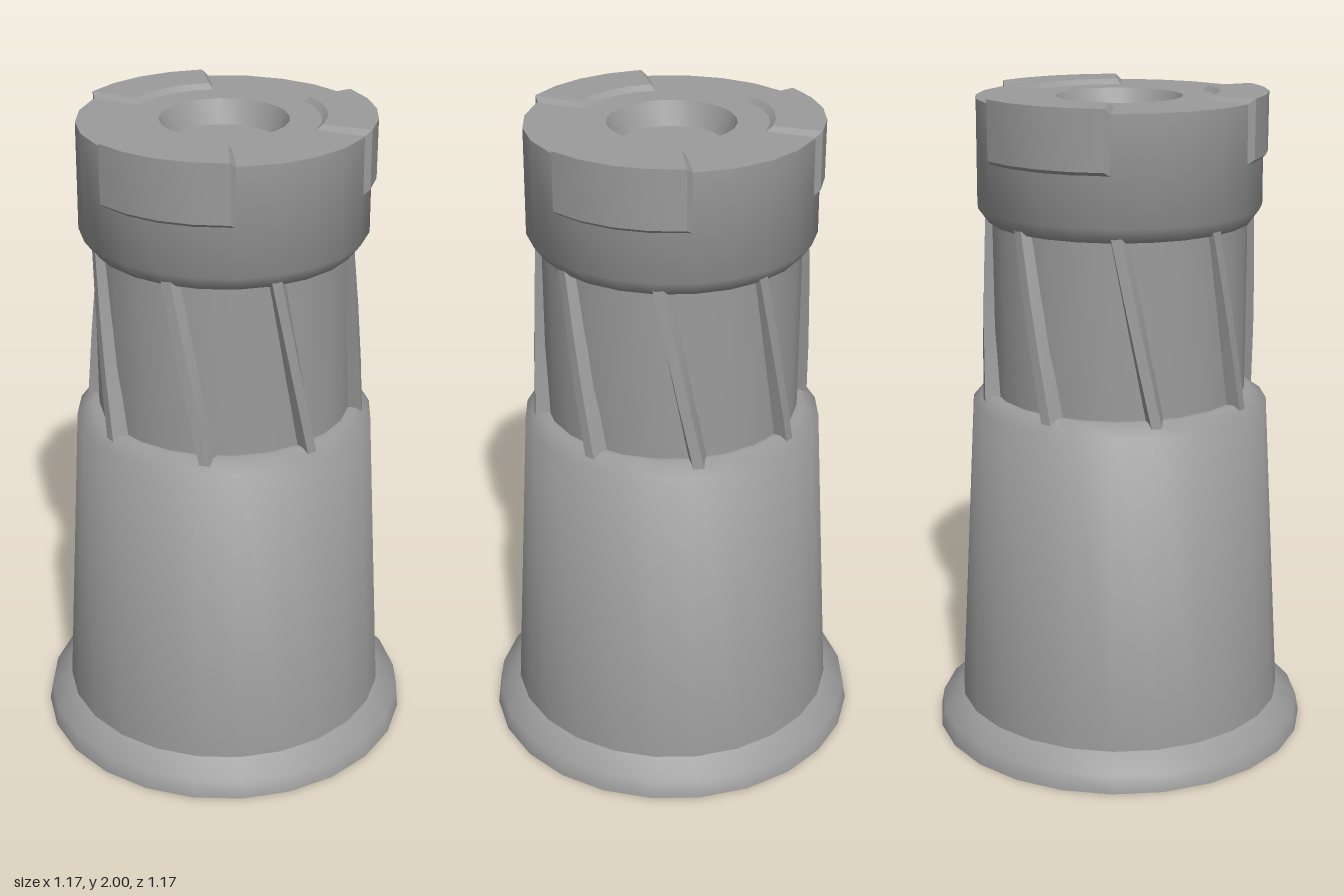
import * as THREE from 'three';
import { toCreasedNormals } from 'three/addons/utils/BufferGeometryUtils.js';

const SIDES = 24;
const rad = THREE.MathUtils.degToRad;

// Point on a ring: angle in degrees from +z towards +x
const polar = (r, y, deg) => [r * Math.sin(rad(deg)), y, r * Math.cos(rad(deg))];

// Skin a row of matching closed loops and cap both ends with fans from point 0
function loft(sections) {
  const out = [];
  const tri = (a, b, c) => out.push(...a, ...b, ...c);
  const n = sections[0].length;
  for (let i = 0; i < sections.length - 1; i++) {
    const s = sections[i], t = sections[i + 1];
    for (let j = 0; j < n; j++) {
      const k = (j + 1) % n;
      tri(s[j], s[k], t[k]);
      tri(s[j], t[k], t[j]);
    }
  }
  const first = sections[0], last = sections[sections.length - 1];
  for (let j = 1; j < n - 1; j++) {
    tri(first[0], first[j + 1], first[j]);
    tri(last[0], last[j], last[j + 1]);
  }
  const geo = new THREE.BufferGeometry();
  geo.setAttribute('position', new THREE.Float32BufferAttribute(out, 3));
  return toCreasedNormals(geo, 0.4);
}

export function createModel() {
  const group = new THREE.Group();
  const material = new THREE.MeshStandardMaterial({ color: 0x9b9b9b });

  const add = (name, geometry, turn = 0) => {
    const mesh = new THREE.Mesh(geometry, material);
    mesh.name = name;
    mesh.rotation.y = rad(turn);
    group.add(mesh);
  };
  const turned = (name, profile) => {
    const points = profile.map(([r, y]) => new THREE.Vector2(r, y));
    add(name, toCreasedNormals(new THREE.LatheGeometry(points, SIDES), 0.95));
  };

  // Turned parts from bottom to top
  turned('baseFlange', [[0, 0], [0.583, 0], [0.573, 0.055], [0.507, 0.1]]);
  turned('body', [[0.507, 0.1], [0.453, 1.06], [0.405, 1.095], [0.38, 1.095]]);
  turned('neck', [[0.385, 1.09], [0.385, 1.63]]);
  turned('head', [
    [0.38, 1.62], [0.395, 1.62], [0.428, 1.665], [0.426, 1.985],
    [0.188, 1.985], [0.157, 1.915], [0, 1.915],
  ]);

  // Slanted ribs around the neck, with one broad sloping flank
  const ribSections = [];
  for (let i = 0; i <= 3; i++) {
    const t = i / 3;
    const y = 1.075 + t * 0.57;
    const a = 3 - 16.5 * t;
    const r = 0.425 - 0.022 * t;
    ribSections.push([
      polar(0.37, y, a - 4), polar(r, y, a - 3.2),
      polar(r, y, a + 1), polar(0.37, y, a + 5),
    ]);
  }
  const ribGeometry = loft(ribSections);
  for (let i = 0; i < 8; i++) add('neckRib', ribGeometry, i * 45);

  // Bevelled pads folded over the head rim: radius, height, half angle
  const padProfile = [
    [0.42, 1.98, 29.5], [0.275, 1.98, 29.5], [0.297, 2, 26.5],
    [0.441, 2, 26.5], [0.441, 1.825, 26.5], [0.42, 1.808, 29.5],
  ];
  const padSections = [];
  for (let i = 0; i <= 4; i++) {
    padSections.push(padProfile.map(([r, y, half]) => polar(r, y, half * (i / 2 - 1))));
  }
  const padGeometry = loft(padSections);
  for (const angle of [60, 180, 300]) add('rimPad', padGeometry, angle);

  return group;
}
